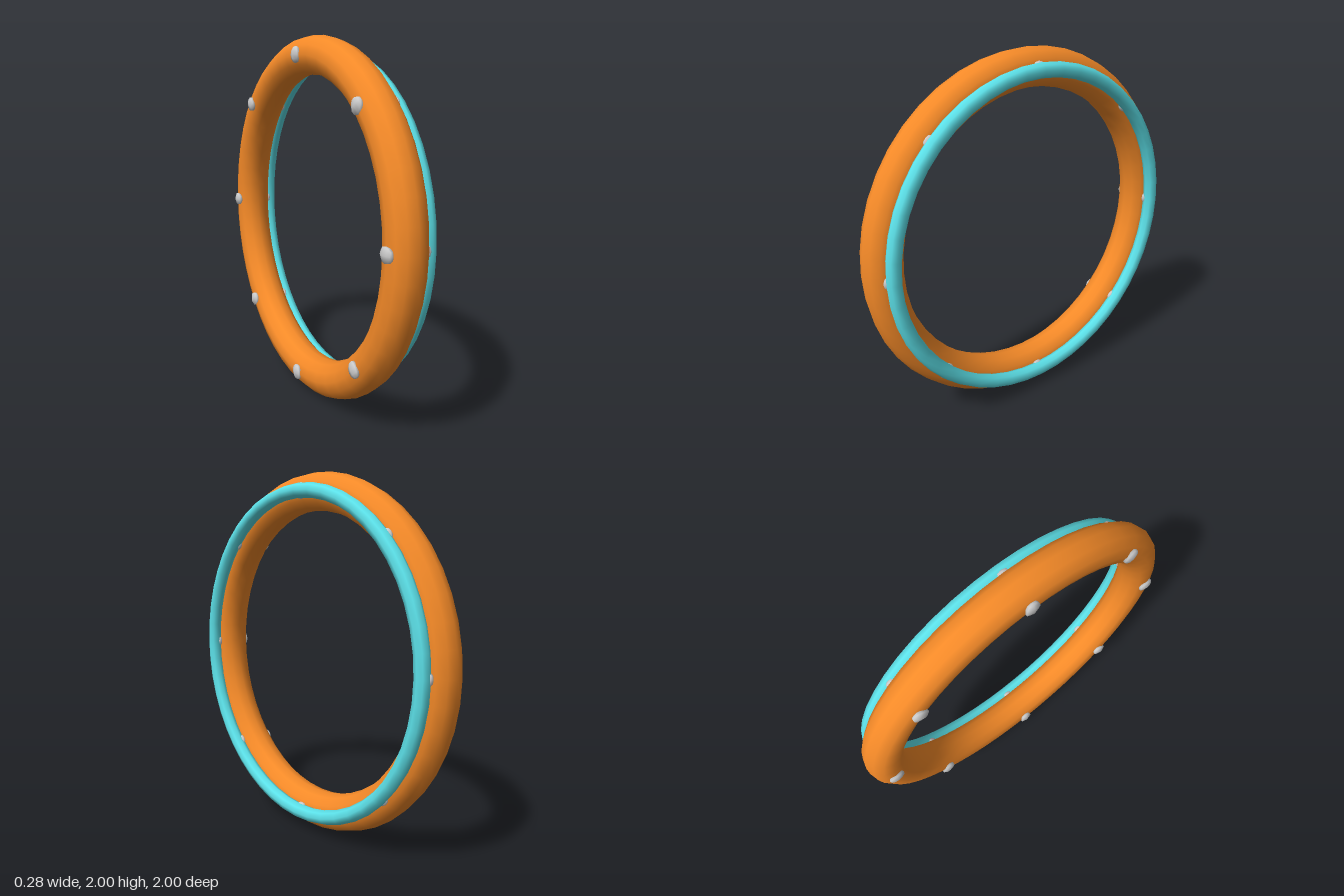
import * as THREE from 'three';

const BODY_X = -0.02; // centre plane of the main ring
const RADIUS = 0.897; // shared centre-line radius
const TUBE = 0.103;

export function createModel() {
  const model = new THREE.Group();
  model.name = 'bangle';
  const orange = new THREE.MeshStandardMaterial({ color: 0xf58a28 });
  const cyan = new THREE.MeshStandardMaterial({ color: 0x5ce1e9 });
  const grey = new THREE.MeshStandardMaterial({ color: 0xcccccc });

  // Upright ring whose axis runs along x
  const ring = (name, material, radius, tube, sides, x) => {
    const geometry = new THREE.TorusGeometry(radius, tube, sides, 48);
    geometry.rotateY(Math.PI / 2);
    const mesh = new THREE.Mesh(geometry, material);
    mesh.name = name;
    mesh.position.set(x, 1, 0);
    model.add(mesh);
  };
  ring('mainRing', orange, RADIUS, TUBE, 12, BODY_X);
  ring('trimRing', cyan, RADIUS, 0.04, 8, 0.1);

  // Flattened studs, eight on each face, turned to point outwards
  const studGeometry = new THREE.SphereGeometry(0.045, 6, 6);
  studGeometry.scale(0.5, 1, 1);
  for (const side of [-1, 1]) {
    for (let i = 0; i < 8; i++) {
      const angle = (i * Math.PI) / 4;
      const stud = new THREE.Mesh(studGeometry, grey);
      stud.name = side < 0 ? 'rightStud' : 'leftStud';
      stud.position.set(
        BODY_X + side * 0.1,
        1 + RADIUS * Math.cos(angle),
        RADIUS * Math.sin(angle)
      );
      stud.rotation.x = angle;
      model.add(stud);
    }
  }
  return model;
}
